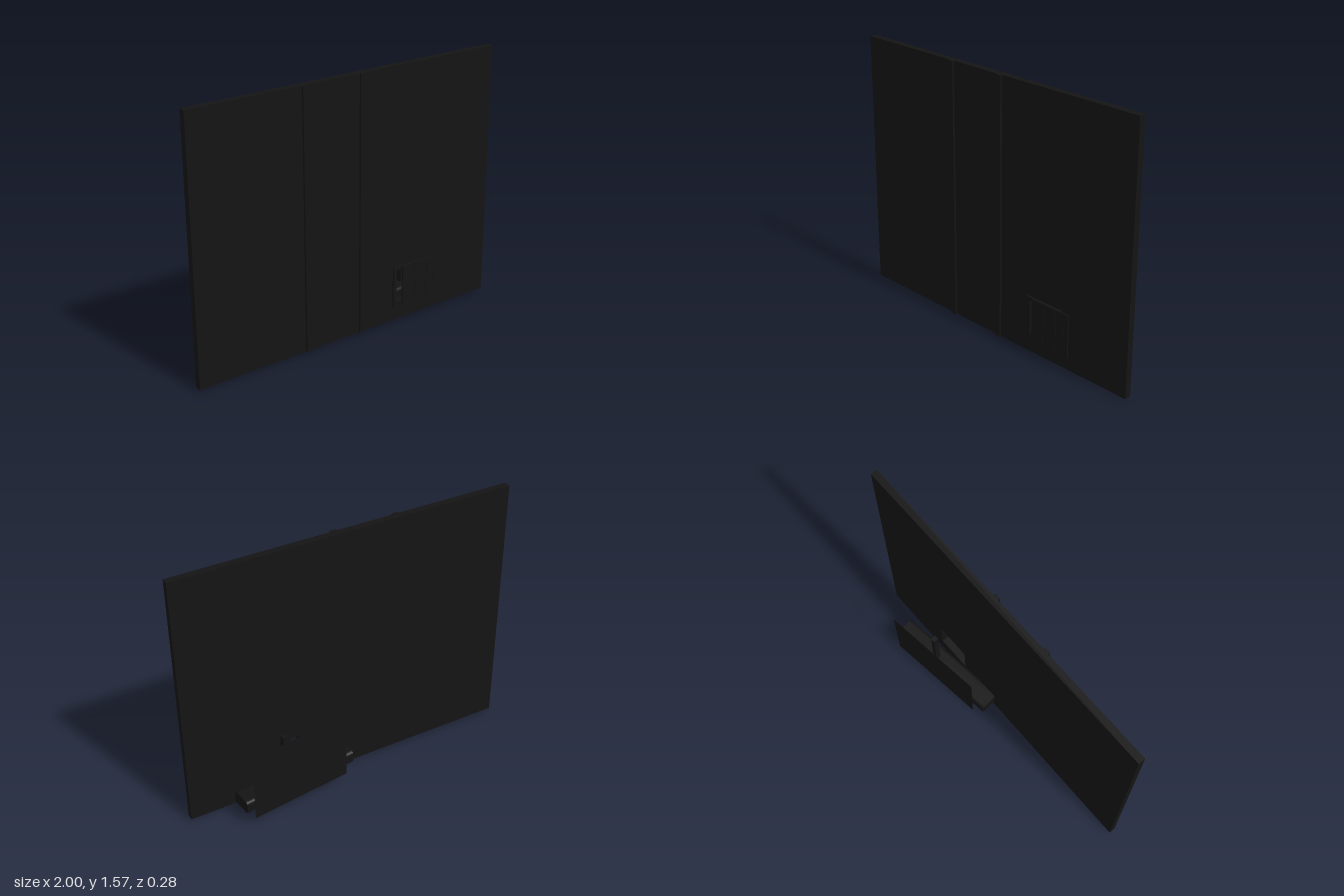
import * as THREE from 'three';

const material = new THREE.MeshStandardMaterial({ color: 0x141414 });
const thinMaterial = new THREE.MeshStandardMaterial({ color: 0x141414, side: THREE.DoubleSide });

function add(parent, name, geometry, x = 0, y = 0, z = 0, mat = material) {
  const mesh = new THREE.Mesh(geometry, mat);
  mesh.name = name;
  mesh.position.set(x, y, z);
  parent.add(mesh);
  return mesh;
}

// Box given by its extents on each axis
function box(parent, name, [x0, x1], [y0, y1], [z0, z1]) {
  return add(parent, name, new THREE.BoxGeometry(x1 - x0, y1 - y0, z1 - z0),
    (x0 + x1) / 2, (y0 + y1) / 2, (z0 + z1) / 2);
}

function rectangle(PathType, x0, x1, y0, y1) {
  return new PathType().moveTo(x0, y0).lineTo(x1, y0).lineTo(x1, y1).lineTo(x0, y1).closePath();
}

// Flat plate with one rectangular opening
function framedPlate(parent, name, outer, hole, z0, z1) {
  const shape = rectangle(THREE.Shape, ...outer);
  shape.holes.push(rectangle(THREE.Path, ...hole));
  const geometry = new THREE.ExtrudeGeometry(shape, { depth: z1 - z0, bevelEnabled: false });
  return add(parent, name, geometry, 0, 0, z0);
}

export function createModel() {
  const model = new THREE.Group();
  model.name = 'panelWithHatch';

  // Slightly turned wall panel with its front fittings
  const wall = new THREE.Group();
  wall.name = 'wall';
  wall.rotation.y = -0.122;
  model.add(wall);

  const opening = [0.318, 0.535, 0.13, 0.335];
  framedPlate(wall, 'wallPanel', [-1.005, 1.005, 0.015, 1.565], opening, -0.02, 0.02);
  for (const x of [-0.303, 0.068]) {
    box(wall, 'seamStrip', [x - 0.018, x + 0.018], [0.015, 1.565], [0.018, 0.032]);
  }

  // Hatch frame and the sliding door in front of it
  framedPlate(wall, 'hatchFrame', [0.296, 0.548, 0.107, 0.358], opening, 0.019, 0.03);
  const door = new THREE.Group();
  door.name = 'hatchDoor';
  wall.add(door);
  box(door, 'doorBacking', [0.349, 0.616], [0.105, 0.363], [0.039, 0.044]);
  for (let i = 0; i < 3; i++) {
    const x = 0.349 + i * 0.09;
    box(door, 'doorBoard', [x, x + 0.087], [0.105, 0.363], [0.043, 0.047]);
  }
  box(door, 'doorPull', [0.573, 0.587], [0.23, 0.275], [0.046, 0.051]);

  // Rounded bar behind the wall, extruded along x
  const y0 = 0.09, y1 = 0.17, z0 = -0.118, z1 = 0.008, r = 0.02;
  const profile = new THREE.Shape();
  profile.absarc(-z0 - r, y1 - r, r, 0, Math.PI / 2);
  profile.absarc(-z1 + r, y1 - r, r, Math.PI / 2, Math.PI);
  profile.absarc(-z1 + r, y0 + r, r, Math.PI, Math.PI * 1.5);
  profile.absarc(-z0 - r, y0 + r, r, Math.PI * 1.5, Math.PI * 2);
  const bar = new THREE.ExtrudeGeometry(profile, { depth: 0.72, bevelEnabled: false, curveSegments: 6 });
  bar.rotateY(Math.PI / 2);
  add(model, 'rearBar', bar, 0.045);

  // Upright post through the bar, and the thin sheet behind it
  box(model, 'post', [0.465, 0.49], [0, 0.465], [-0.078, -0.046]);
  add(model, 'rearSheet', new THREE.PlaneGeometry(0.62, 0.43).rotateY(Math.PI),
    0.42, 0.272, -0.14, thinMaterial);

  return model;
}
